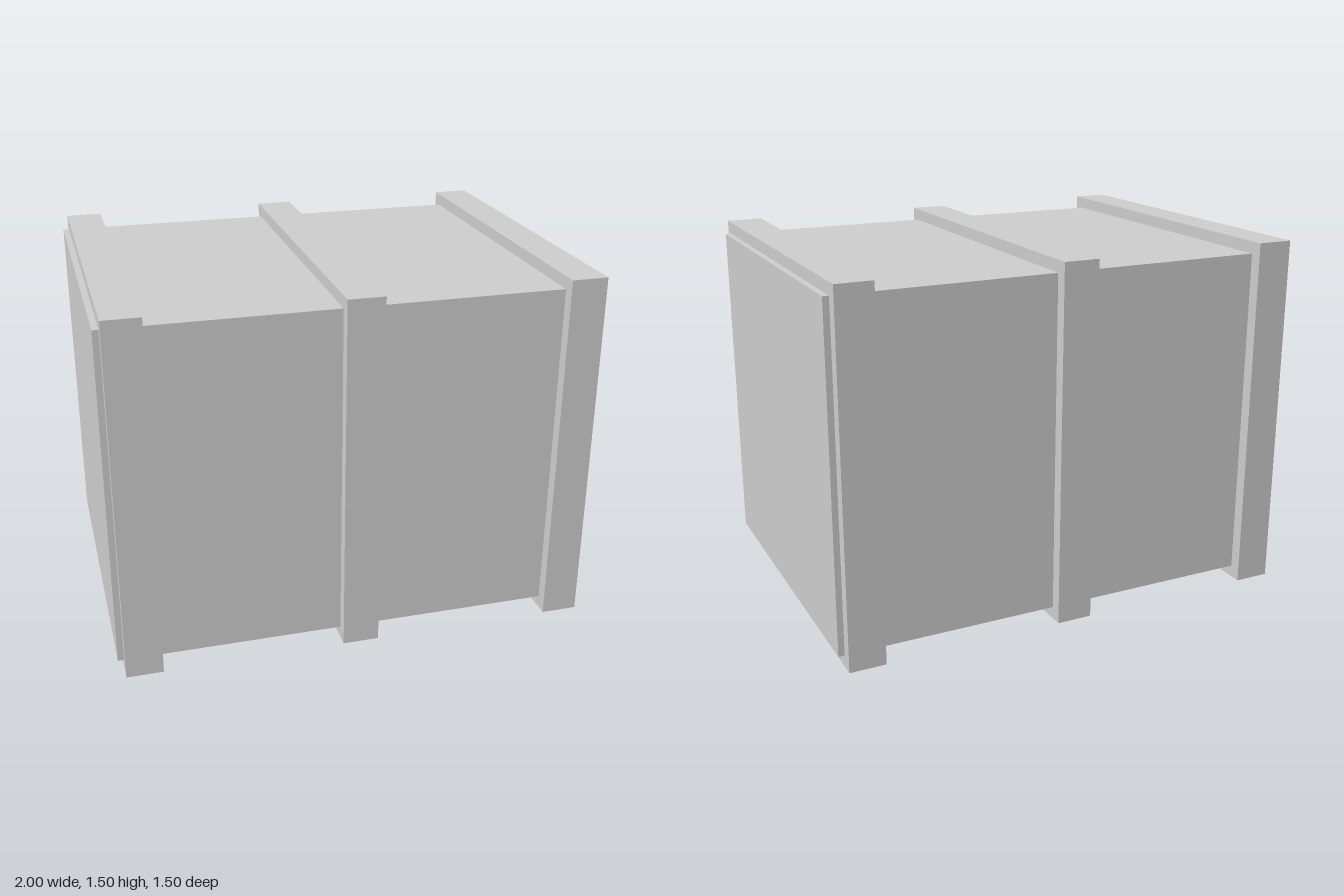
import * as THREE from 'three';

const BODY = { length: 2, side: 1.4 };
const BAND = { width: 0.15, side: 1.5 };

export function createModel() {
  const crate = new THREE.Group();
  crate.name = 'crate';
  const material = new THREE.MeshStandardMaterial({ color: 0xcccccc, flatShading: true });

  function addBox(name, width, side, x) {
    const mesh = new THREE.Mesh(new THREE.BoxGeometry(width, side, side), material);
    mesh.name = name;
    mesh.position.set(x, BAND.side / 2, 0);
    crate.add(mesh);
  }

  // Main body, its ends standing slightly proud of the outer bands
  addBox('body', BODY.length, BODY.side, 0);

  // Three raised bands wrapping the body
  addBox('rightBand', BAND.width, BAND.side, -0.9);
  addBox('middleBand', BAND.width, BAND.side, 0);
  addBox('leftBand', BAND.width, BAND.side, 0.9);

  return crate;
}
